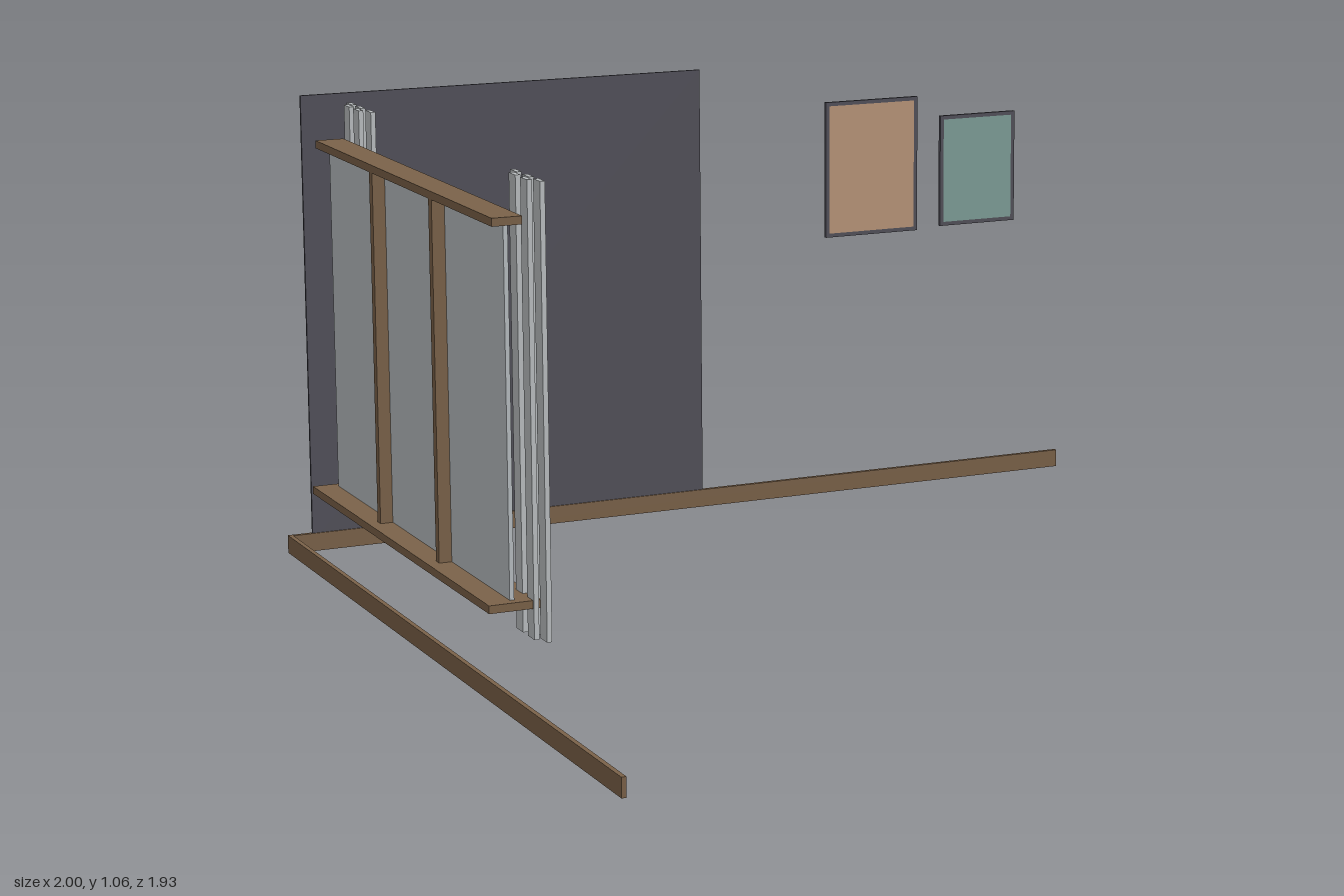
import * as THREE from 'three';

const mat = (name, color, opts = {}) => {
  const m = new THREE.MeshStandardMaterial({ color, ...opts });
  m.name = name;
  return m;
};

export function createModel() {
  const wood = mat('wood', 0x7b6249);
  const charcoal = mat('charcoal', 0x52515a);
  const slatGrey = mat('slatGrey', 0x75787d);
  const glassGrey = mat('glassGrey', 0xb9bfc2);
  const curtainGrey = mat('curtainGrey', 0xbcc0c2);
  const peach = mat('peach', 0xba967a);
  const teal = mat('teal', 0x7f9f98);

  const model = new THREE.Group();
  model.name = 'roomCorner';

  // Box given by its limits on each axis
  const box = (parent, name, material, [x0, x1], [y0, y1], [z0, z1]) => {
    const mesh = new THREE.Mesh(new THREE.BoxGeometry(x1 - x0, y1 - y0, z1 - z0), material);
    mesh.position.set((x0 + x1) / 2, (y0 + y1) / 2, (z0 + z1) / 2);
    mesh.name = name;
    parent.add(mesh);
    return mesh;
  };
  const group = (name) => {
    const g = new THREE.Group();
    g.name = name;
    model.add(g);
    return g;
  };

  // Skirting boards along the two walls
  box(model, 'backSkirting', wood, [-0.91, 1], [0, 0.04], [-0.957, -0.947]);
  box(model, 'sideSkirting', wood, [-0.92, -0.91], [0, 0.04], [-0.957, 0.965]);

  // Wall panel with a row of slats behind it
  const panel = group('wallPanel');
  box(panel, 'panelBoard', charcoal, [-0.865, 0.075], [0.02, 1.015], [-0.956, -0.95]);
  for (let i = 0; i < 26; i++) {
    const x = -0.848 + i * 0.0348;
    box(panel, 'slat', slatGrey, [x - 0.008, x + 0.008], [0.02, 1.005], [-0.967, -0.956]);
  }

  // Two framed pictures: four frame bars round a slim canvas
  const picture = (name, material, [x0, x1], [y0, y1]) => {
    const g = group(name);
    const b = 0.009, z = [-0.957, -0.949];
    box(g, 'frameBottom', charcoal, [x0, x1], [y0, y0 + b], z);
    box(g, 'frameTop', charcoal, [x0, x1], [y1 - b, y1], z);
    box(g, 'frameRight', charcoal, [x0, x0 + b], [y0 + b, y1 - b], z);
    box(g, 'frameLeft', charcoal, [x1 - b, x1], [y0 + b, y1 - b], z);
    box(g, 'canvas', material, [x0 + b, x1 - b], [y0 + b, y1 - b], z);
  };
  picture('largePicture', peach, [0.39, 0.625], [0.605, 0.92]);
  picture('smallPicture', teal, [0.685, 0.88], [0.61, 0.87]);

  // Window: sill, head board, glass and two mullions
  const win = group('window');
  box(win, 'sill', wood, [-1, -0.895], [0.24, 0.256], [-0.52, 0.52]);
  box(win, 'headBoard', wood, [-0.977, -0.917], [0.971, 0.987], [-0.51, 0.51]);
  box(win, 'glass', glassGrey, [-0.951, -0.942], [0.256, 0.971], [-0.5, 0.5]);
  for (const z of [-0.167, 0.177]) {
    box(win, 'mullion', wood, [-0.977, -0.917], [0.256, 0.971], [z - 0.009, z + 0.009]);
  }

  // Curtains: staggered vertical strips in two layers on each side
  for (const side of [-1, 1]) {
    const curtain = group(side > 0 ? 'frontCurtain' : 'backCurtain');
    const strip = (c, x) => {
      const z = 0.004 + side * c;
      box(curtain, 'curtainStrip', curtainGrey, [x - 0.005, x + 0.005], [0.18, 1.056], [z - 0.017, z + 0.017]);
    };
    for (const c of [0.412, 0.475, 0.53]) strip(c, -0.892);
    for (const c of [0.444, 0.503]) strip(c, -0.907);
  }

  return model;
}
